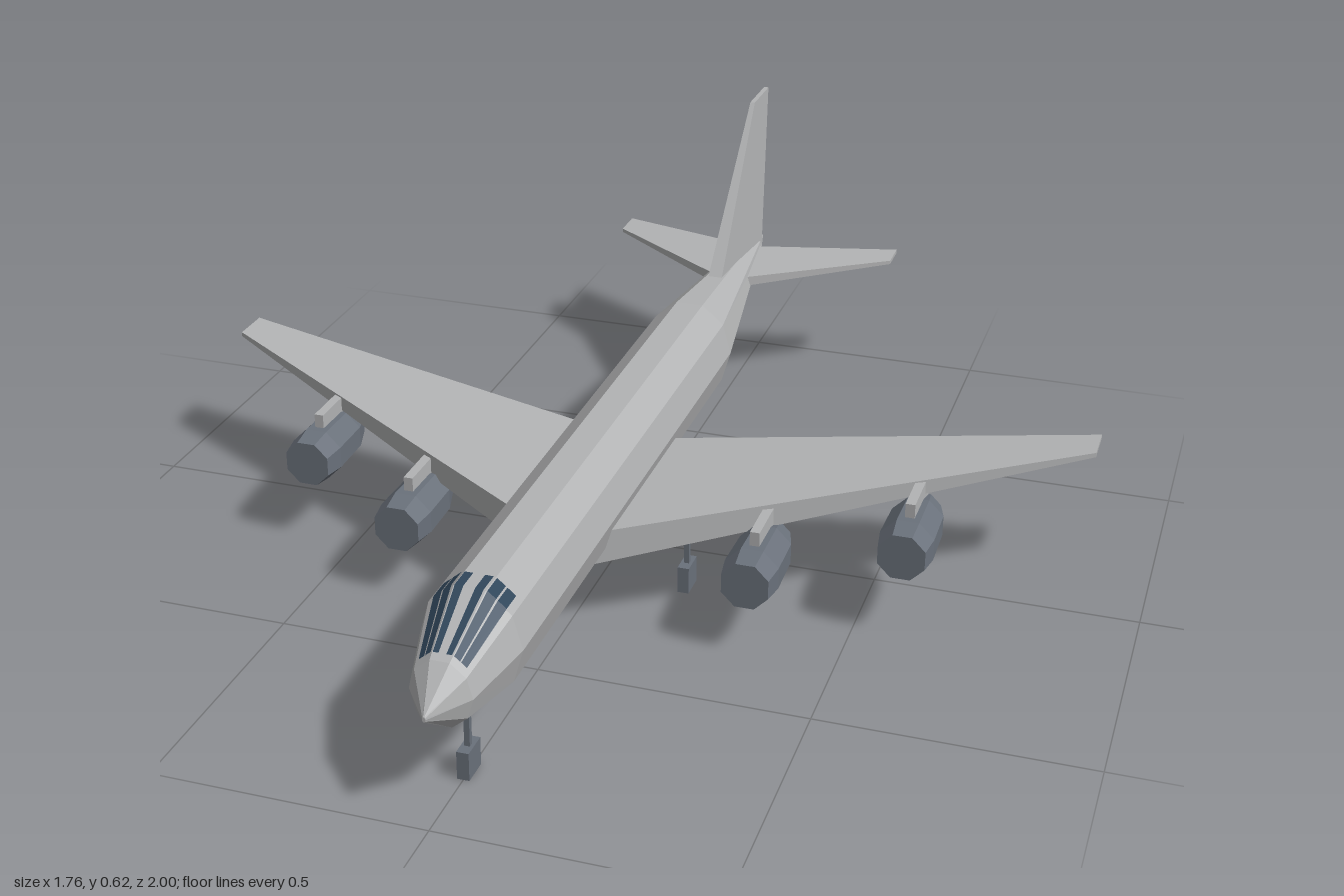
import * as THREE from 'three';

const paint = (name, color, flat = true) => {
  const m = new THREE.MeshStandardMaterial({ color, flatShading: flat });
  m.name = name;
  return m;
};

// Triangle soup from quads of points [a, b, c, d], counter-clockwise from outside
function quads(list) {
  const p = [];
  for (const [a, b, c, d] of list) p.push(...a, ...b, ...c, ...a, ...c, ...d);
  const g = new THREE.BufferGeometry();
  g.setAttribute('position', new THREE.Float32BufferAttribute(p, 3));
  g.computeVertexNormals();
  return g;
}

// Solid between two four-cornered ends
function slab(r, t) {
  const list = [[r[3], r[2], r[1], r[0]], t];
  for (let i = 0; i < 4; i++) {
    const j = (i + 1) % 4;
    list.push([r[i], r[j], t[j], t[i]]);
  }
  return quads(list);
}

// Swept surface spreading sideways; ends are [x, yBottom, yTop, zTrailing, zLeading]
function wingGeometry(root, tip, side) {
  const end = ([x, y0, y1, z0, z1]) => {
    const c = [[x, y0, z1], [x, y0, z0], [x, y1, z0], [x, y1, z1]]
      .map(([px, py, pz]) => [px * side, py, pz]);
    return side > 0 ? c : c.reverse();
  };
  return slab(end(root), end(tip));
}

// Fuselage stations: z, centre height, half width, half height
const STATIONS = [
  [-1, 0.268, 0.002, 0.005],
  [-0.92, 0.27, 0.02, 0.027],
  [-0.42, 0.235, 0.09, 0.105],
  [0.8, 0.235, 0.09, 0.105],
  [0.93, 0.215, 0.055, 0.063],
  [1, 0.21, 0.003, 0.005],
];
const SIDES = 10;

function ringPoint([z, cy, rx, ry], k, grow = 1) {
  const a = (k / SIDES) * Math.PI * 2;
  return [Math.cos(a) * rx * grow, cy + Math.sin(a) * ry * grow, z];
}

function stationAt(z) {
  const i = STATIONS.findIndex((s, n) => n > 0 && z <= s[0]);
  const a = STATIONS[i - 1], b = STATIONS[i];
  const t = (z - a[0]) / (b[0] - a[0]);
  return a.map((v, n) => v + (b[n] - v) * t);
}

// Point on a fuselage facet, u running from 0 to 1 across it
function facetPoint(z, facet, u) {
  const s = stationAt(z);
  const a = ringPoint(s, facet, 1.03), b = ringPoint(s, facet + 1, 1.03);
  return a.map((v, n) => v + (b[n] - v) * u);
}

function fuselageGeometry() {
  const list = [];
  for (let i = 0; i < STATIONS.length - 1; i++) {
    for (let k = 0; k < SIDES; k++) {
      const a = STATIONS[i], b = STATIONS[i + 1];
      list.push([ringPoint(a, k), ringPoint(a, k + 1), ringPoint(b, k + 1), ringPoint(b, k)]);
    }
  }
  const first = STATIONS[0], last = STATIONS[STATIONS.length - 1];
  for (let k = 0; k < SIDES; k++) {
    const tail = [0, first[1], first[0]], nose = [0, last[1], last[0]];
    list.push([tail, ringPoint(first, k + 1), ringPoint(first, k), tail]);
    list.push([nose, ringPoint(last, k), ringPoint(last, k + 1), nose]);
  }
  return quads(list);
}

function paneGeometry(facet, u0, u1) {
  const zs = [0.757, 0.8, 0.918];
  const list = [];
  for (let i = 0; i < 2; i++) {
    list.push([
      facetPoint(zs[i], facet, u0), facetPoint(zs[i], facet, u1),
      facetPoint(zs[i + 1], facet, u1), facetPoint(zs[i + 1], facet, u0),
    ]);
  }
  return quads(list);
}

export function createModel() {
  const model = new THREE.Group();
  model.name = 'airliner';
  const skin = paint('light grey skin', 0xb2b3b4);
  const metal = paint('slate metal', 0x6a717b);
  const glass = paint('dark blue glass', 0x30465a);
  glass.side = THREE.DoubleSide;

  const add = (name, geometry, material, x = 0, y = 0, z = 0) => {
    const mesh = new THREE.Mesh(geometry, material);
    mesh.name = name;
    mesh.position.set(x, y, z);
    model.add(mesh);
    return mesh;
  };

  add('fuselage', fuselageGeometry(), skin);

  // Cockpit glazing: facet, start and end across the facet
  const panes = [
    [1, 0.25, 0.57], [1, 0.63, 0.95], [2, 0.06, 0.32],
    [2, 0.68, 0.94], [3, 0.05, 0.37], [3, 0.43, 0.75],
  ];
  for (const p of panes) add('cockpitPane', paneGeometry(...p), glass);

  // Tail fin
  const fin = (y, w, z0, z1) => [[-w, y, z0], [-w, y, z1], [w, y, z1], [w, y, z0]];
  add('tailFin', slab(
    [[-0.015, 0.27, -0.94], [-0.015, 0.315, -0.605], [0.015, 0.315, -0.605], [0.015, 0.27, -0.94]],
    fin(0.625, 0.005, -1, -0.885)), skin);

  // Octagonal engine pod, rounded in towards both ends
  const pod = new THREE.LatheGeometry([
    [0, -0.097], [0.036, -0.097], [0.052, -0.045], [0.054, 0.05], [0.047, 0.097], [0, 0.097],
  ].map(([r, y]) => new THREE.Vector2(r, y)), 8, Math.PI / 8);
  pod.rotateX(Math.PI / 2);

  for (const side of [1, -1]) {
    const label = side > 0 ? 'left' : 'right';
    add(label + 'Wing', wingGeometry(
      [0.02, 0.138, 0.205, -0.045, 0.368], [0.88, 0.265, 0.274, -0.2, -0.12], side), skin);
    add(label + 'Tailplane', wingGeometry(
      [0.005, 0.258, 0.28, -0.905, -0.7], [0.315, 0.266, 0.274, -1, -0.93], side), skin);

    // Engines and pylons: x, height, z
    for (const [x, y, z] of [[0.335, 0.145, 0.247], [0.585, 0.17, 0.102]]) {
      add(label + 'Engine', pod, metal, side * x, y, z);
      add(label + 'Pylon', new THREE.BoxGeometry(0.018, 0.05, 0.13), skin,
        side * x, y + 0.052, z - 0.03);
    }
  }

  // Landing gear: x, z, strut top
  for (const [x, z, top] of [[0, 0.828, 0.16], [0.167, 0.136, 0.17], [-0.167, 0.136, 0.17]]) {
    add('wheelBlock', new THREE.BoxGeometry(0.022, 0.053, 0.052), metal, x, 0.0265, z);
    add('gearStrut', new THREE.BoxGeometry(0.01, top - 0.05, 0.01), metal, x, (top + 0.05) / 2, z);
  }
  return model;
}
